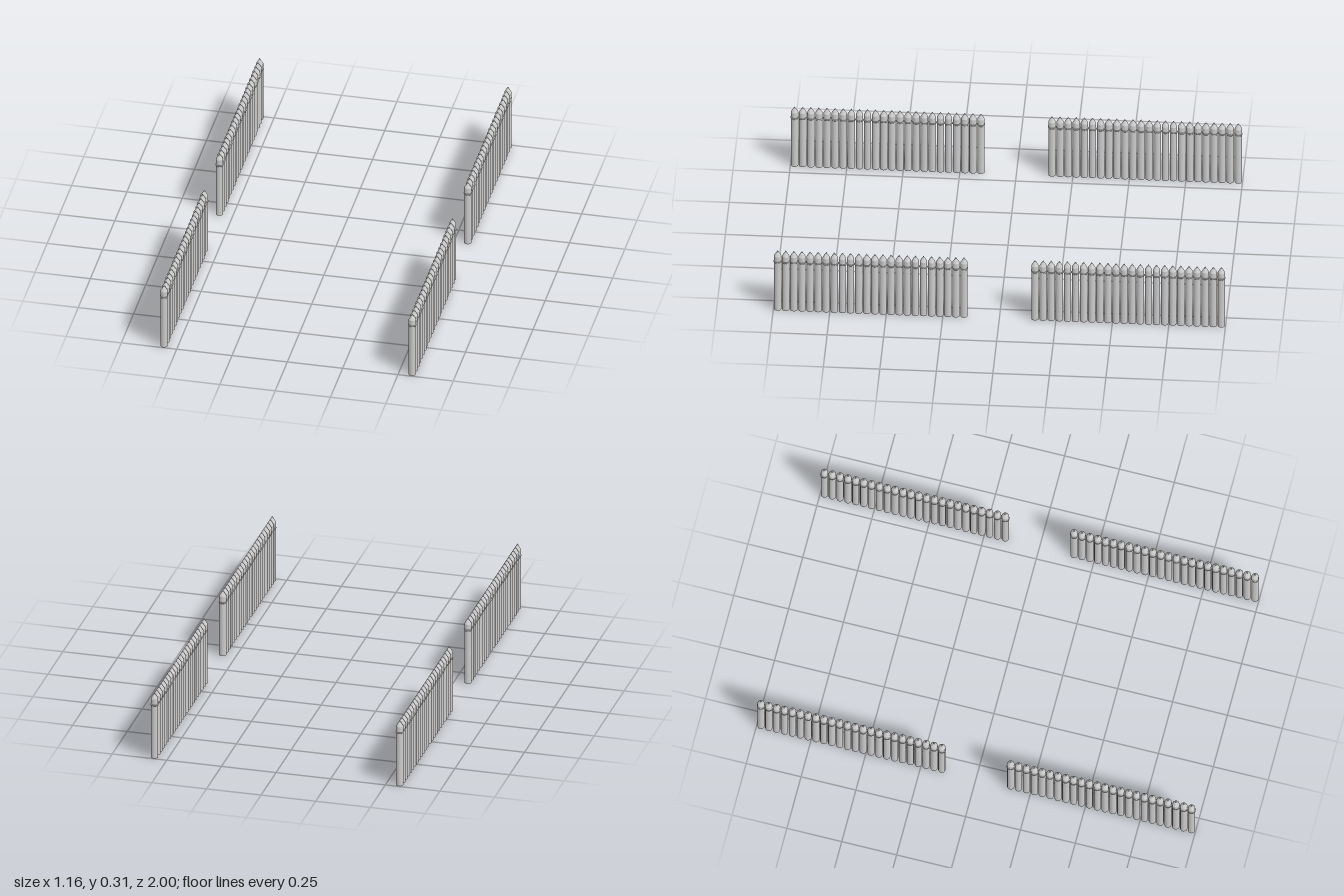
import * as THREE from 'three';

const SIDES = 16;
const POSTS = 24;
const RADIUS = 0.0162;
const BODY_TOP = 0.256;
const SHOULDER = 0.285;
const TIP = 0.313;

// Each section runs along z between these post centres
const Z_NEAR = 0.157;
const Z_FAR = 0.9815;
const ROW_X = 0.561;

export function createModel() {
  const model = new THREE.Group();
  model.name = 'palisade';
  const material = new THREE.MeshStandardMaterial({ color: 0xcccccc });

  // Shared post parts: round trunk, binding ring, pointed head
  const trunk = new THREE.CylinderGeometry(RADIUS, RADIUS, SHOULDER, SIDES);
  trunk.translate(0, SHOULDER / 2, 0);
  const ring = new THREE.TorusGeometry(0.0148, 0.0038, 6, SIDES);
  ring.rotateX(Math.PI / 2).translate(0, BODY_TOP, 0);
  const point = new THREE.ConeGeometry(RADIUS, TIP - SHOULDER, SIDES, 1, true);
  point.translate(0, (SHOULDER + TIP) / 2, 0);

  function makePost() {
    const post = new THREE.Group();
    post.name = 'post';
    for (const [name, geometry] of Object.entries({ trunk, ring, point })) {
      const mesh = new THREE.Mesh(geometry, material);
      mesh.name = name;
      post.add(mesh);
    }
    return post;
  }

  // Four fence sections, mirrored across x and z
  for (const sx of [1, -1]) {
    for (const sz of [1, -1]) {
      const section = new THREE.Group();
      section.name = `${sz > 0 ? 'front' : 'back'}${sx > 0 ? 'Left' : 'Right'}Fence`;
      for (let i = 0; i < POSTS; i++) {
        const post = makePost();
        const z = THREE.MathUtils.lerp(Z_NEAR, Z_FAR, i / (POSTS - 1));
        post.position.set(sx * ROW_X, 0, sz * z);
        section.add(post);
      }
      model.add(section);
    }
  }
  return model;
}
